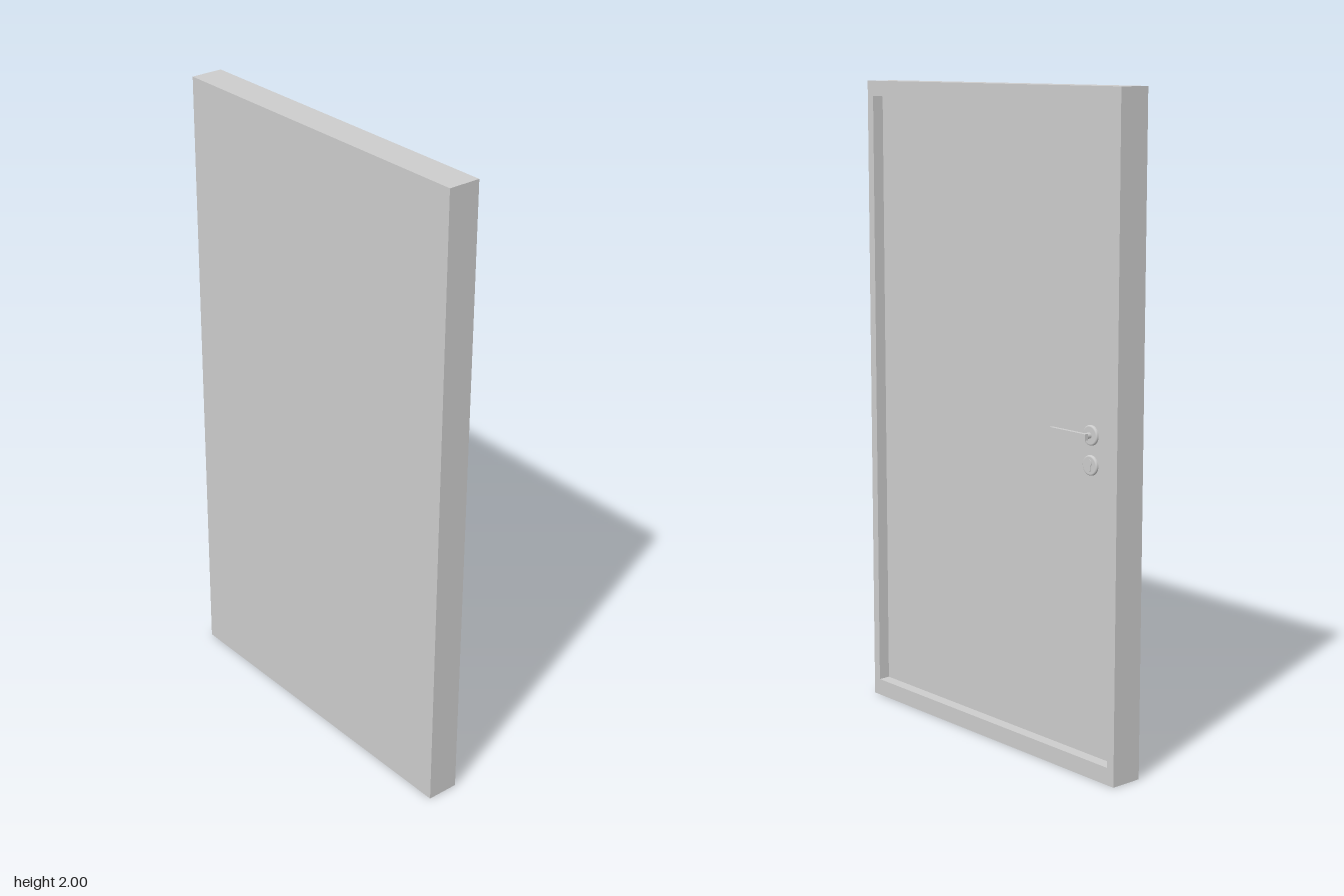
import * as THREE from 'three';

const material = new THREE.MeshStandardMaterial({ color: 0xcccccc });

// Main measures; the door faces +x
const BACK = -0.0525, FRONT = 0.0505, PANEL = 0.013;
const HALF = 0.565, HEIGHT = 2;
const OPEN = { z0: -0.538, z1: 0.538, y0: 0.053, y1: 1.953 };
const HANDLE_Z = -0.421, HANDLE_Y = 1.013, LOCK_Y = 0.925;

function add(group, name, geometry, x = 0, y = 0, z = 0) {
  const mesh = new THREE.Mesh(geometry, material);
  mesh.name = name;
  mesh.position.set(x, y, z);
  group.add(mesh);
  return mesh;
}

// Extrudes a shape drawn in (-z, y) along +x
function extrudeX(shape, depth) {
  return new THREE.ExtrudeGeometry(shape, { depth, bevelEnabled: false, curveSegments: 12 })
    .rotateY(Math.PI / 2);
}

function rectangle(Kind, x0, y0, x1, y1) {
  const path = new Kind();
  path.moveTo(x0, y0);
  path.lineTo(x1, y0);
  path.lineTo(x1, y1);
  path.lineTo(x0, y1);
  path.closePath();
  return path;
}

// Round cover plate with a softly rounded rim, axis along x
function rosetteGeometry() {
  const r = 0.03, t = 0.008, points = [new THREE.Vector2(r, 0)];
  for (let i = 0; i <= 6; i++) {
    const a = (i / 6) * Math.PI / 2;
    points.push(new THREE.Vector2(r - 0.005 + 0.005 * Math.cos(a), t - 0.005 + 0.005 * Math.sin(a)));
  }
  points.push(new THREE.Vector2(0, t));
  return new THREE.LatheGeometry(points, 32).rotateZ(-Math.PI / 2);
}

// Lock cylinder outline: round barrel above a narrow rounded tail
function lockShape() {
  const s = new THREE.Shape();
  const a = Math.asin(0.55);
  s.absarc(0, 0.008, 0.0105, -Math.PI / 2 + a, Math.PI * 1.5 - a, false);
  s.absarc(0, -0.0127, 0.0058, Math.PI, Math.PI * 2, false);
  s.closePath();
  return s;
}

export function createModel() {
  const model = new THREE.Group();
  model.name = 'door';

  // Frame around the recessed leaf
  const outline = rectangle(THREE.Shape, -HALF, 0, HALF, HEIGHT);
  outline.holes.push(rectangle(THREE.Path, -OPEN.z1, OPEN.y0, -OPEN.z0, OPEN.y1));
  add(model, 'frame', extrudeX(outline, FRONT - BACK), BACK);

  // Leaf, flush with the frame at the back
  add(model, 'leaf',
    new THREE.BoxGeometry(PANEL - BACK, OPEN.y1 - OPEN.y0, OPEN.z1 - OPEN.z0),
    (PANEL + BACK) / 2, (OPEN.y0 + OPEN.y1) / 2, (OPEN.z0 + OPEN.z1) / 2);

  // Lever handle: rosette, neck and lever
  const handle = new THREE.Group();
  handle.name = 'handle';
  add(handle, 'handleRosette', rosetteGeometry(), PANEL, HANDLE_Y, HANDLE_Z);
  const neck = new THREE.CylinderGeometry(0.009, 0.009, 0.03, 20).rotateZ(Math.PI / 2);
  add(handle, 'handleNeck', neck, PANEL + 0.017, HANDLE_Y, HANDLE_Z);
  add(handle, 'lever', new THREE.BoxGeometry(0.012, 0.019, 0.149), 0.0465, HANDLE_Y, -0.3605);
  model.add(handle);

  // Lock below the handle
  const lock = new THREE.Group();
  lock.name = 'lock';
  add(lock, 'lockRosette', rosetteGeometry(), PANEL, LOCK_Y, HANDLE_Z);
  add(lock, 'lockCylinder', extrudeX(lockShape(), 0.01), PANEL, LOCK_Y, HANDLE_Z);
  model.add(lock);

  return model;
}
